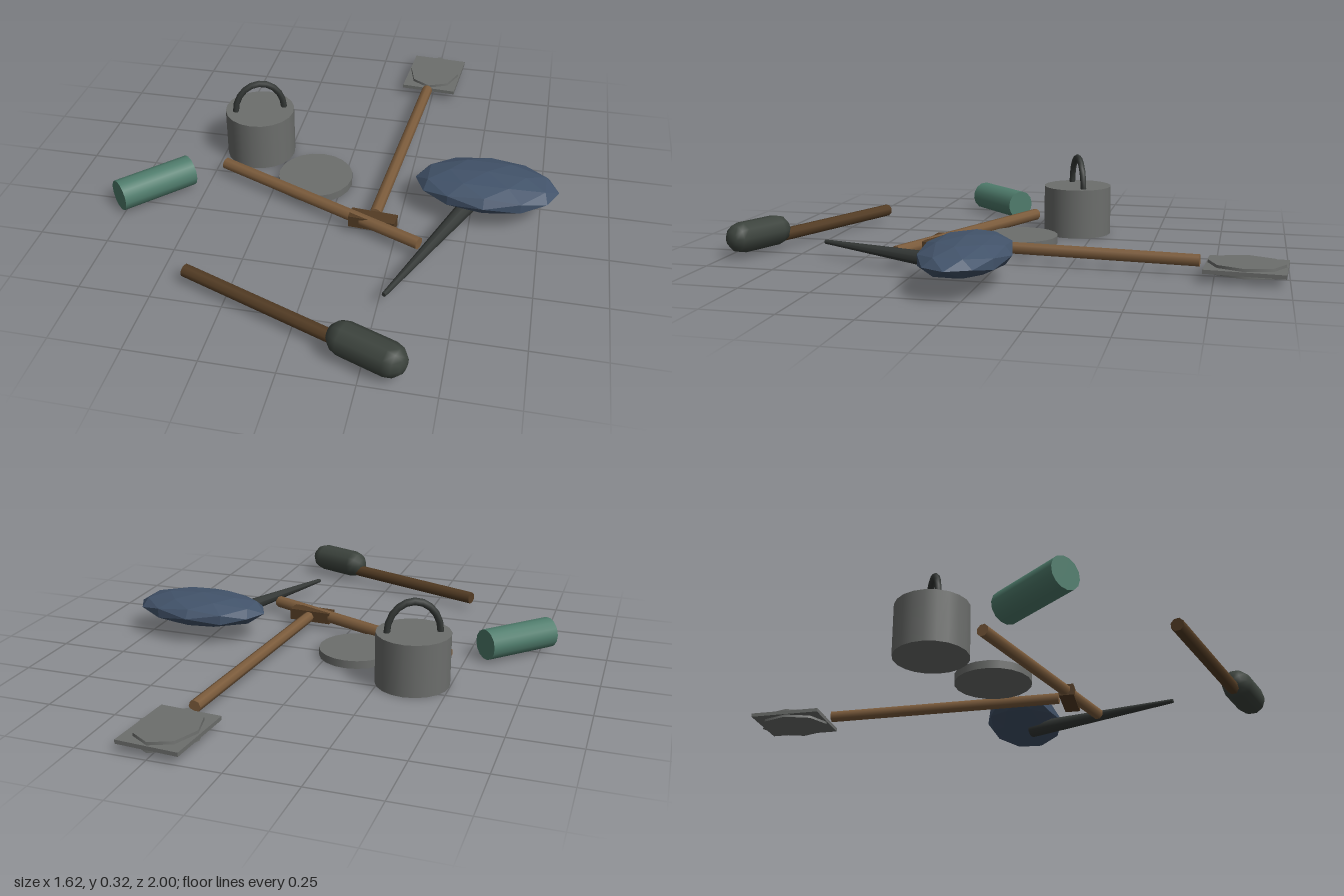
import * as THREE from 'three';

const mat = (name, color, extra = {}) => {
  const m = new THREE.MeshStandardMaterial({ color, ...extra });
  m.name = name;
  return m;
};

export function createModel() {
  const group = new THREE.Group();
  const metal = mat('grey metal', 0x6c6e6c);
  const iron = mat('dark iron', 0x343836);
  const wood = mat('light wood', 0x7c5c3c);
  const darkWood = mat('dark wood', 0x533c24);
  const green = mat('green cloth', 0x4f7c6c);
  const blue = mat('blue cloth', 0x42536a, { flatShading: true });
  const charcoal = mat('charcoal', 0x3c433d);

  const add = (name, geometry, material, x, y, z, turn = 0) => {
    const mesh = new THREE.Mesh(geometry, material);
    mesh.name = name;
    mesh.position.set(x, y, z);
    mesh.rotation.y = turn;
    group.add(mesh);
    return mesh;
  };

  // Lays a Y-aligned geometry along the line from a to b
  const up = new THREE.Vector3(0, 1, 0);
  const lay = (name, geometry, material, a, b) => {
    const p = new THREE.Vector3(...a), q = new THREE.Vector3(...b);
    const mid = p.clone().add(q).multiplyScalar(0.5);
    const mesh = add(name, geometry, material, mid.x, mid.y, mid.z);
    mesh.quaternion.setFromUnitVectors(up, q.sub(p).normalize());
    return mesh;
  };
  const rod = (name, material, a, b, rA, rB = rA, sides = 8) => {
    const length = new THREE.Vector3(...a).distanceTo(new THREE.Vector3(...b));
    return lay(name, new THREE.CylinderGeometry(rB, rA, length, sides), material, a, b);
  };

  // Cooking pot with arched handle, and its lid on the ground
  add('pot', new THREE.CylinderGeometry(0.134, 0.134, 0.192, 20), metal, -0.365, 0.096, -0.178);
  const bail = add('potHandle', new THREE.TorusGeometry(0.095, 0.012, 6, 10, Math.PI),
    iron, -0.365, 0.19, -0.178, 0.4);
  bail.scale.y = 1.2;
  add('lid', new THREE.CylinderGeometry(0.141, 0.141, 0.03, 20), metal, -0.103, 0.02, -0.003);

  // Shovel: shaft, cross grip, and a plate with a shallow octagonal dish
  const tilt = -0.07;
  rod('shovelShaft', wood, [0.167, 0.048, 0.212], [0.231, 0.048, -0.7], 0.022);
  add('shovelGrip', new THREE.BoxGeometry(0.17, 0.044, 0.056), darkWood, 0.165, 0.046, 0.252, tilt);
  add('shovelPlate', new THREE.BoxGeometry(0.223, 0.014, 0.273), metal, 0.243, 0.037, -0.857, tilt);
  const dish = add('shovelDish', new THREE.CylinderGeometry(0.104, 0.108, 0.034, 8),
    metal, 0.243, 0.037, -0.857, tilt);
  dish.scale.z = 1.25;

  // Loose pole
  rod('pole', wood, [-0.453, 0.048, 0.012], [0.345, 0.048, 0.35], 0.023);

  // Mallet: handle and rounded head
  rod('malletHandle', darkWood, [-0.405, 0.048, 0.65], [0.16, 0.048, 0.866], 0.024);
  lay('malletHead', new THREE.CapsuleGeometry(0.057, 0.165, 3, 10), charcoal,
    [0.162, 0.072, 0.873], [0.368, 0.072, 0.953]);

  // Tapered spike running under the bundle
  rod('spike', iron, [0.503, 0.056, 0.07], [0.272, 0.056, 0.645], 0.032, 0.008);

  // Soft bundle
  const bundle = add('bundle', new THREE.IcosahedronGeometry(1, 1), blue, 0.548, 0.108, 0.037);
  bundle.scale.set(0.262, 0.06, 0.155);

  // Bedroll
  rod('bedroll', green, [-0.771, 0.063, 0.314], [-0.569, 0.063, 0.104], 0.058, 0.058, 14);

  return group;
}
